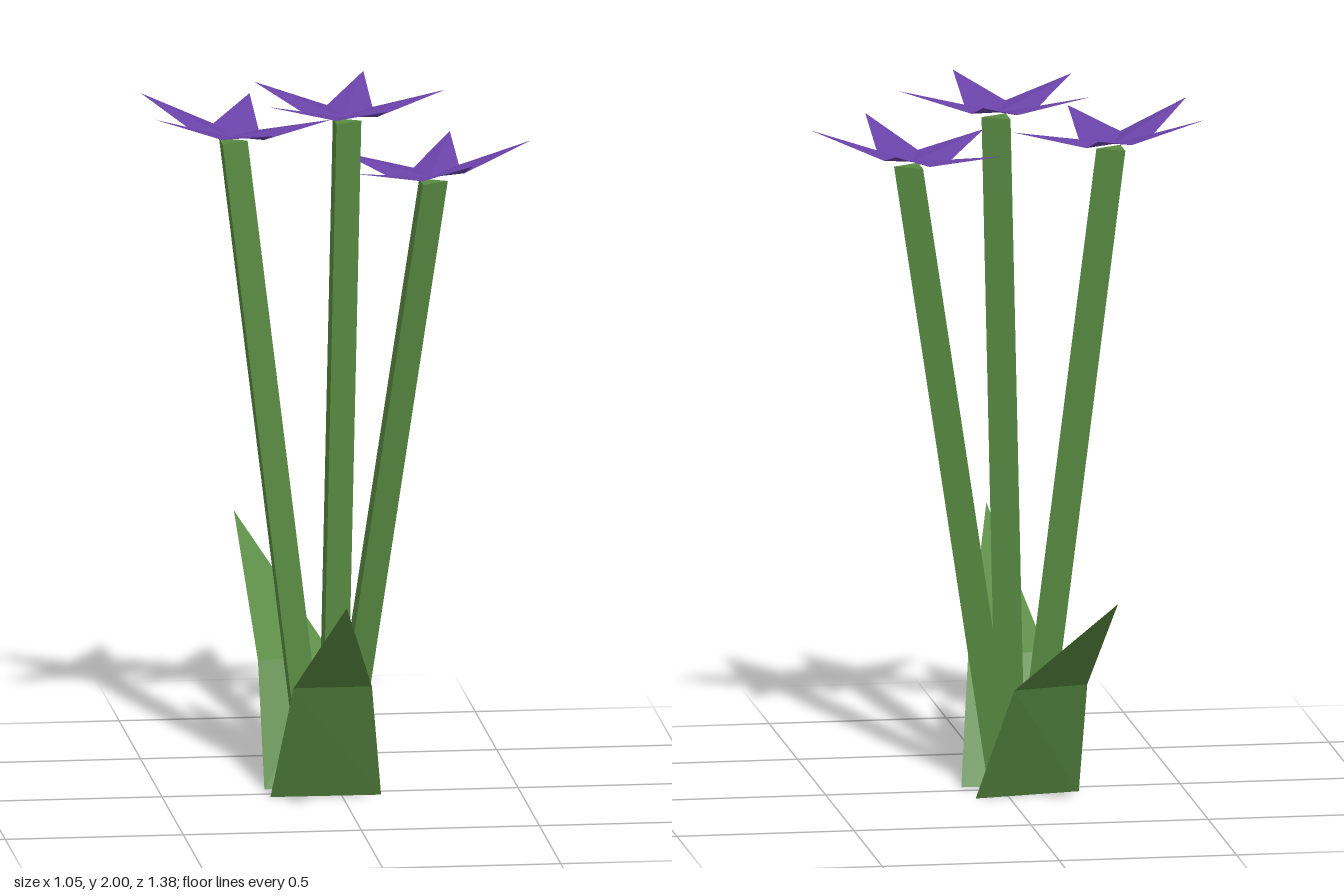
import * as THREE from 'three';

// Flat-faced surface from a list of triangles of [x, y, z] corners
function facets(triangles) {
  const g = new THREE.BufferGeometry();
  g.setAttribute('position', new THREE.Float32BufferAttribute(triangles.flat(2), 3));
  g.computeVertexNormals();
  return g;
}

// Three-sided stem whose top is slid sideways, keeping both ends level
function stemGeometry(base, top) {
  const g = new THREE.CylinderGeometry(0.05, 0.05, top[1], 3).toNonIndexed();
  g.rotateY(Math.PI / 2);
  g.translate(0, top[1] / 2, 0);
  const p = g.attributes.position;
  for (let i = 0; i < p.count; i++) {
    const t = p.getY(i) / top[1];
    p.setX(i, p.getX(i) + THREE.MathUtils.lerp(base[0], top[0], t));
    p.setZ(i, p.getZ(i) + THREE.MathUtils.lerp(base[1], top[2], t));
  }
  g.computeVertexNormals();
  return g;
}

// Shallow five-pointed blossom, cupped upwards; tilt is its slope in x and z
function blossomGeometry([tiltX, tiltZ]) {
  const rim = [];
  for (let i = 0; i < 10; i++) {
    const tip = i % 2 === 0;
    const r = tip ? 0.285 : 0.11;
    const x = r * Math.cos(i * Math.PI / 5);
    const z = -r * Math.sin(i * Math.PI / 5);
    rim.push([x, (tip ? 0.07 : 0.012) + tiltX * x + tiltZ * z, z]);
  }
  return facets(rim.map((a, i) => [[0, 0, 0], a, rim[(i + 1) % 10]]));
}

// Folded leaf: a lower panel and a pointed upper panel
function leafGeometry([baseL, baseR, midL, midR, tip]) {
  return facets([[baseL, baseR, midR], [baseL, midR, midL], [midL, midR, tip]]);
}

export function createModel() {
  const model = new THREE.Group();
  const leafGreen = new THREE.MeshStandardMaterial({ name: 'leafGreen', color: 0x588a42, side: THREE.DoubleSide, flatShading: true });
  const petalPurple = new THREE.MeshStandardMaterial({ name: 'petalPurple', color: 0x6a42a8, side: THREE.DoubleSide, flatShading: true });

  const add = (name, geometry, material) => {
    const mesh = new THREE.Mesh(geometry, material);
    mesh.name = name;
    model.add(mesh);
    return mesh;
  };

  // Stems with a blossom just above each
  const flowers = [
    { name: 'right', base: [-0.08, -0.03], top: [-0.295, 1.84, -0.12], tilt: [-0.1, -0.01] },
    { name: 'middle', base: [-0.03, -0.015], top: [0.01, 1.915, 0], tilt: [0, 0] },
    { name: 'left', base: [-0.01, 0], top: [0.24, 1.76, 0.107], tilt: [0.1, 0.03] },
  ];
  for (const { name, base, top, tilt } of flowers) {
    add(name + 'Stem', stemGeometry(base, top), leafGreen);
    add(name + 'Blossom', blossomGeometry(tilt), petalPurple).position.set(top[0], top[1] + 0.012, top[2]);
  }

  // Leaves
  add('frontLeaf', leafGeometry([
    [0.11, 0, 0.045], [-0.2, 0, 0.04],
    [0.065, 0.345, 0.205], [-0.155, 0.345, 0.205],
    [-0.063, 0.675, 0.685],
  ]), leafGreen);
  add('backLeaf', leafGeometry([
    [-0.205, 0, -0.06], [0.095, 0, -0.115],
    [-0.205, 0.335, -0.21], [0.01, 0.335, -0.265],
    [-0.215, 0.66, -0.69],
  ]), leafGreen);

  return model;
}
